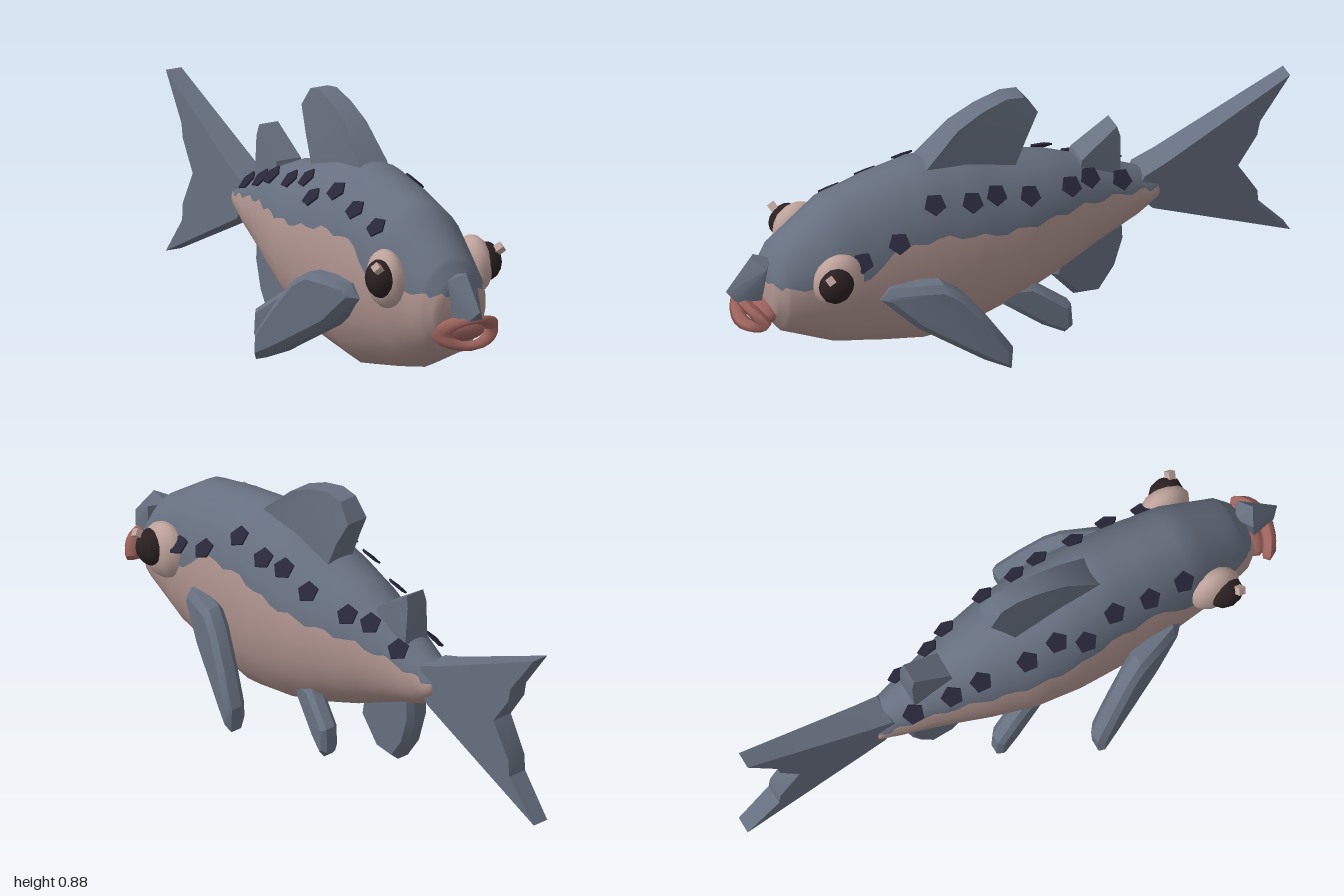
import * as THREE from 'three';
import { toCreasedNormals } from 'three/addons/utils/BufferGeometryUtils.js';
import { ConvexGeometry } from 'three/addons/geometries/ConvexGeometry.js';

const mat = (name, color, flatShading = false) => {
  const m = new THREE.MeshStandardMaterial({ color, flatShading });
  m.name = name;
  return m;
};

// body sections from nose to tail: z, top, bottom, half width
const SECTIONS = [
  [0.88, 0.37, 0.33, 0.01], [0.865, 0.45, 0.25, 0.09], [0.82, 0.52, 0.19, 0.125],
  [0.64, 0.65, 0.1, 0.17], [0.48, 0.685, 0.06, 0.19], [0.32, 0.71, 0.025, 0.2],
  [0.16, 0.69, 0.05, 0.205], [0, 0.64, 0.1, 0.195], [-0.15, 0.6, 0.155, 0.16],
  [-0.3, 0.535, 0.22, 0.115], [-0.45, 0.46, 0.28, 0.075], [-0.52, 0.425, 0.33, 0.06],
  [-0.54, 0.38, 0.36, 0.01],
];
// height of the line between back and belly: z, y
const SEAM = [
  [0.88, 0.41], [0.6, 0.41], [0.54, 0.41], [0.5, 0.5], [0.3, 0.51], [0.1, 0.47],
  [-0.05, 0.46], [-0.2, 0.455], [-0.35, 0.43], [-0.54, 0.385],
];

// straight-line lookup in a table sorted by falling z
function lookup(table, z) {
  let i = 0;
  while (i < table.length - 2 && z < table[i + 1][0]) i++;
  const a = table[i], b = table[i + 1];
  const t = THREE.MathUtils.clamp((a[0] - z) / (a[0] - b[0]), 0, 1);
  return a.map((v, k) => v + (b[k] - v) * t);
}

function section(z) {
  const [, top, bottom, w] = lookup(SECTIONS, z);
  return { cy: (top + bottom) / 2, h: (top - bottom) / 2, w };
}

// lofted body, every ring split at the seam into a back arc and a belly arc
function bodyGeometry() {
  const STEPS = 4, ARC = 14, ring = ARC * 2;
  const zs = [];
  for (let i = 0; i < SECTIONS.length - 1; i++) {
    for (let k = 0; k < STEPS; k++) {
      zs.push(THREE.MathUtils.lerp(SECTIONS[i][0], SECTIONS[i + 1][0], k / STEPS));
    }
  }
  zs.push(SECTIONS.at(-1)[0]);
  const pos = [], back = [], belly = [];
  zs.forEach((z, i) => {
    const { cy, h, w } = section(z);
    const seam = lookup(SEAM, z)[1] + 0.009 * Math.sin(i * 1.9);
    const aB = Math.acos(THREE.MathUtils.clamp((seam - cy) / h, -0.9, 0.9));
    for (let j = 0; j < ring; j++) {
      const a = j < ARC ? -aB + (2 * aB * j) / ARC
        : aB + ((2 * Math.PI - 2 * aB) * (j - ARC)) / ARC;
      pos.push(w * Math.sin(a), cy + h * Math.cos(a), z);
    }
    if (i === zs.length - 1) return;
    for (let j = 0; j < ring; j++) {
      const a = i * ring + j, b = i * ring + ((j + 1) % ring);
      (j < ARC ? back : belly).push(a, b, a + ring, b, b + ring, a + ring);
    }
  });
  const g = new THREE.BufferGeometry();
  g.setAttribute('position', new THREE.Float32BufferAttribute(pos, 3));
  g.setIndex([...back, ...belly]);
  g.addGroup(0, back.length, 0);
  g.addGroup(back.length, belly.length, 1);
  g.computeVertexNormals();
  return g;
}

// fin slab from a (z, y) outline; thick and centre give its x extent at (z, y)
function finGeometry(outline, thick, centre = () => 0, bevel = 0) {
  const shape = new THREE.Shape(outline.map(([z, y]) => new THREE.Vector2(z, y)));
  const g = new THREE.ExtrudeGeometry(shape, {
    depth: bevel ? 0.5 : 1, bevelEnabled: bevel > 0, bevelThickness: 0.25,
    bevelSize: bevel, bevelOffset: -bevel, bevelSegments: 1,
  });
  const p = g.attributes.position;
  const mid = bevel ? 0.25 : 0.5;
  for (let i = 0; i < p.count; i++) {
    const z = p.getX(i), y = p.getY(i), d = p.getZ(i) - mid;
    p.setXYZ(i, centre(z, y) - d * thick(z, y), y, z);
  }
  return toCreasedNormals(g, 0.6);
}

export function createModel() {
  const model = new THREE.Group();
  model.name = 'fish';
  const grey = mat('slateBack', 0x677080);
  const greyFlat = grey;
  const pink = mat('pinkBelly', 0xae938e);
  const lipRed = mat('lipRed', 0x9c625c);
  const eyePink = mat('eyePink', 0xbda29b);
  const dark = mat('pupilDark', 0x2b2021);
  const spotInk = mat('spotInk', 0x28273a);

  const add = (name, geometry, material, parent = model) => {
    const m = new THREE.Mesh(geometry, material);
    m.name = name;
    parent.add(m);
    return m;
  };

  add('body', bodyGeometry(), [grey, pink]);

  // snout over the mouth
  const snoutPoints = [[0, 0.49, 0.91], [0, 0.47, 0.84], [0, 0.38, 1.0]];
  for (const s of [-1, 1]) {
    snoutPoints.push([s * 0.053, 0.462, 0.88], [s * 0.04, 0.34, 0.89], [s * 0.025, 0.345, 0.972]);
  }
  const snout = new ConvexGeometry(snoutPoints.map((p) => new THREE.Vector3(...p)));
  add('snout', toCreasedNormals(snout, 0.5), greyFlat);

  // lips: a flattened ring swept back at the corners, flared above and below
  const lips = new THREE.TorusGeometry(1, 0.35, 6, 20);
  const lp = lips.attributes.position;
  for (let i = 0; i < lp.count; i++) {
    const x = lp.getX(i) * 0.093, y = lp.getY(i) * 0.043;
    lp.setXYZ(i, x, 0.295 + y, 0.93 + lp.getZ(i) * 0.07 - 2 * x * x + 0.35 * Math.abs(y));
  }
  lips.computeVertexNormals();
  add('lips', lips, lipRed);
  const mouth = add('mouth', new THREE.SphereGeometry(1, 14, 8), lipRed);
  mouth.scale.set(0.095, 0.042, 0.05);
  mouth.position.set(0, 0.295, 0.88);

  // fins along the middle
  add('dorsalFin', finGeometry(
    [[0.32, 0.68], [0.3, 0.705], [0.19, 0.81], [0.1, 0.855], [0.01, 0.88], [-0.05, 0.87],
      [-0.095, 0.805], [-0.05, 0.72], [0, 0.6], [0.2, 0.62]],
    (z, y) => 0.106 - 0.24 * Math.max(0, y - 0.7)), grey);
  add('rearDorsalFin', finGeometry(
    [[-0.24, 0.53], [-0.25, 0.57], [-0.38, 0.66], [-0.39, 0.62], [-0.385, 0.45], [-0.28, 0.48]],
    (z, y) => 0.1 - 0.25 * Math.max(0, y - 0.54)), grey);
  add('analFin', finGeometry(
    [[-0.15, 0.13], [-0.17, 0.24], [-0.4, 0.3], [-0.405, 0.2], [-0.375, 0.1], [-0.32, 0.02], [-0.23, 0.03]],
    () => 0.085, undefined, 0.018), grey);
  add('tailFin', finGeometry(
    [[-0.44, 0.38], [-0.47, 0.445], [-0.55, 0.475], [-1, 0.68], [-0.89, 0.53], [-0.88, 0.48],
      [-0.81, 0.38], [-0.88, 0.26], [-0.885, 0.2], [-1, 0.065], [-0.5, 0.31]],
    (z) => 0.105 + 0.09 * (z + 0.48)), grey);

  const spotsLeft = [[0.59, 0.165], [0.46, 0.17], [0.32, 0.14], [0.19, 0.15], [0.1, 0.14],
    [-0.02, 0.14], [-0.18, 0.11], [-0.26, 0.08], [-0.38, 0.065]];
  const spotsRight = [[0.57, 0.135], [0.44, 0.14], [0.31, 0.135], [0.19, 0.16], [0.1, 0.125],
    [-0.01, 0.125], [-0.17, 0.1], [-0.27, 0.085], [-0.4, 0.06]];
  const spotGeometry = new THREE.CylinderGeometry(0.038, 0.038, 0.006, 5);

  for (const s of [1, -1]) {
    const side = s > 0 ? 'left' : 'right';

    // paired fins, swept outwards towards the tail
    add(side + 'PectoralFin', finGeometry(
      [[0.53, 0.33], [0.5, 0.375], [0.34, 0.385], [0.28, 0.345], [0.2, 0.24], [0.13, 0.13],
        [0.135, 0.045], [0.22, 0.085], [0.42, 0.215]],
      () => 0.085, (z) => s * (0.168 + 0.4 * (0.52 - z)), 0.022), grey);
    add(side + 'PelvicFin', finGeometry(
      [[0.08, 0.18], [0.05, 0.2], [-0.03, 0.205], [-0.15, 0.115], [-0.155, 0.03], [-0.13, 0.005],
        [-0.06, 0.04], [0.06, 0.13]],
      () => 0.07, (z) => s * (0.09 + 0.32 * (0.08 - z)), 0.018), grey);

    // eye with pupil and glint
    const eye = new THREE.Group();
    eye.name = side + 'Eye';
    model.add(eye);
    const ball = add('eyeball', new THREE.SphereGeometry(1, 12, 10), eyePink, eye);
    ball.position.set(s * 0.163, 0.433, 0.67);
    ball.scale.set(0.056, 0.098, 0.09);
    const pupil = add('pupil', new THREE.SphereGeometry(1, 10, 8), dark, eye);
    pupil.position.set(s * 0.2, 0.445, 0.695);
    pupil.scale.set(0.046, 0.064, 0.06);
    const glint = add('glint', new THREE.BoxGeometry(0.03, 0.026, 0.026), eyePink, eye);
    glint.position.set(s * 0.228, 0.491, 0.728);
    glint.rotation.set(0.5, 0, s * 0.7);

    // row of five-sided spots, tilted off the back
    (s > 0 ? spotsLeft : spotsRight).forEach(([z, x], i) => {
      const { cy, h, w } = section(z);
      const y = cy + h * Math.sqrt(Math.max(0.1, 1 - (x / w) ** 2));
      const spot = add(side + 'Spot' + (i + 1), spotGeometry, spotInk);
      spot.position.set(s * (x + 0.008), y + 0.014, z);
      const slope = (section(z + 0.05).cy + section(z + 0.05).h - cy - h) / 0.05;
      const normal = new THREE.Vector3(s * 0.75, 0.8, -slope * 0.6).normalize();
      spot.quaternion.setFromUnitVectors(new THREE.Vector3(0, 1, 0), normal);
      spot.rotateY(i * 1.3);
    });
  }
  return model;
}
